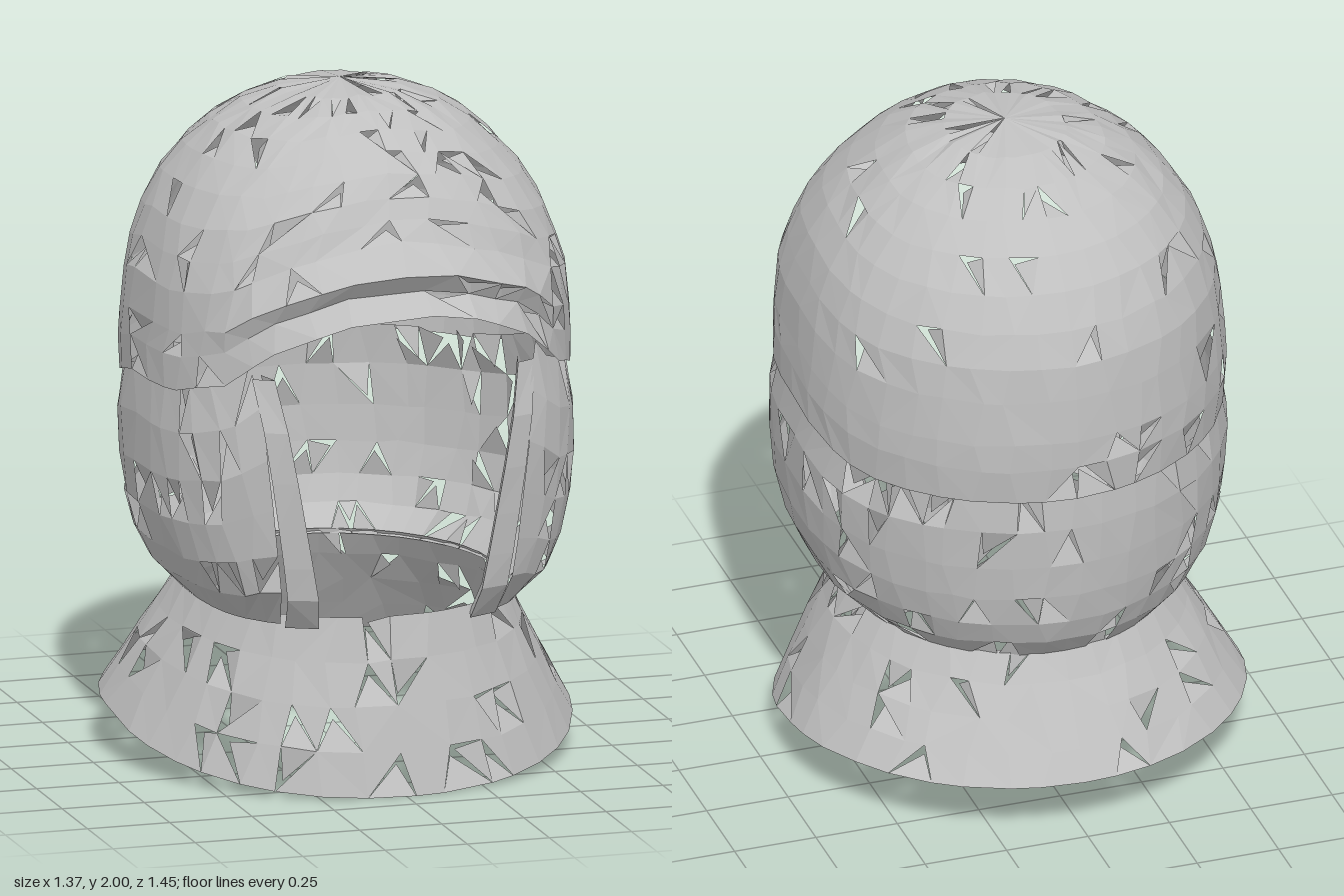
import * as THREE from 'three';

const steel = new THREE.MeshStandardMaterial({ color: 0xc0c0c0, flatShading: true, side: THREE.DoubleSide });
steel.name = 'grey steel';

// Small seeded generator for the battered surface
let seed = 7;
const rnd = () => (seed = (seed * 16807) % 2147483647) / 2147483647;

// Piecewise linear lookup: table rows are [key, value, value, ...]
function lookup(table, key, col = 1) {
  if (key <= table[0][0]) return table[0][col];
  for (let i = 1; i < table.length; i++) {
    const p = table[i - 1], q = table[i];
    if (key <= q[0]) return p[col] + (q[col] - p[col]) * (key - p[0]) / (q[0] - p[0]);
  }
  return table[table.length - 1][col];
}

// Point on a ring: angle 0 is the front; n sets how square the front half is
function ringPoint(a, y, rx, zf, zb, n) {
  const s = Math.sin(a), c = Math.cos(a), e = c > 0 ? 2 / n : 1;
  return new THREE.Vector3(
    rx * Math.sign(s) * Math.abs(s) ** e, y,
    c > 0 ? zf * c ** e : zb * c);
}

// Grid of points f(u, row) turned into a shell with uneven facets;
// a share of the facets (nicks) is bent inwards along one corner
function shell(name, cols, rows, f, rough, nicks) {
  const pos = [], idx = [], w = cols + 1;
  for (let r = 0; r < rows; r++)
    for (let c = 0; c <= cols; c++) {
      const inside = c > 0 && c < cols ? rough : 0;
      const p = f((c + (rnd() - 0.5) * inside) / cols, r);
      if (r > 0 && r < rows - 1) p.y += (rnd() - 0.5) * 0.02 * inside;
      pos.push(...p.toArray());
    }
  const at = i => new THREE.Vector3().fromArray(pos, i * 3);
  const face = (a, b, c) => {
    if (rnd() < nicks) {
      const A = at(a), B = at(b), C = at(c);
      const normal = B.clone().sub(A).cross(C.clone().sub(A)).normalize();
      const bent = C.lerp(A.add(B).multiplyScalar(0.5), 0.25).addScaledVector(normal, -0.03);
      c = pos.length / 3;
      pos.push(...bent.toArray());
    }
    idx.push(a, b, c);
  };
  for (let r = 0; r < rows - 1; r++)
    for (let c = 0; c < cols; c++) {
      const i = r * w + c;
      if (rnd() < 0.5) { face(i, i + 1, i + w + 1); face(i + w + 1, i + w, i); }
      else { face(i, i + 1, i + w); face(i + 1, i + w + 1, i + w); }
    }
  const g = new THREE.BufferGeometry();
  g.setAttribute('position', new THREE.Float32BufferAttribute(pos, 3));
  g.setIndex(idx);
  g.computeVertexNormals();
  const mesh = new THREE.Mesh(g, steel);
  mesh.name = name;
  return mesh;
}

// Lower edge of the dome by angle in degrees from the front
const HEM = [[0, 1.455], [10, 1.43], [30, 1.34], [44, 1.23], [65, 1.18], [90, 1.18],
  [105, 1.13], [120, 1.09], [180, 1.08]];
const hem = a => lookup(HEM, Math.abs(a) * 180 / Math.PI);

// Profiles: height, half width, front depth, back depth
const DOME = [[1.08, 0.635, 0.55, 0.655], [1.2, 0.645, 0.57, 0.665], [1.3, 0.64, 0.58, 0.663],
  [1.5, 0.62, 0.6, 0.64], [1.65, 0.57, 0.6, 0.585], [1.75, 0.51, 0.555, 0.52], [1.83, 0.44, 0.5, 0.44],
  [1.9, 0.355, 0.41, 0.355], [1.95, 0.265, 0.31, 0.265], [1.985, 0.15, 0.18, 0.15], [2, 0, 0, 0]];
const LOWER = [[0.5, 0.47, 0.555, 0.53], [0.59, 0.56, 0.61, 0.605], [0.68, 0.605, 0.615, 0.63],
  [0.8, 0.635, 0.62, 0.645], [1, 0.65, 0.63, 0.65], [1.12, 0.632, 0.63, 0.64], [1.25, 0.61, 0.6, 0.635]];
const COLLAR = [[0, 0.685, 0.66, 0.73], [0.4, 0.6, 0.62, 0.65], [0.8, 0.51, 0.565, 0.565], [1, 0.47, 0.545, 0.53]];

export function createModel() {
  const model = new THREE.Group();
  model.name = 'helmet';

  // Dome with a ridged brow; rows are [height at the front, forward bulge]
  const rows = [[1.455, 0.13], [1.52, 0.06], [1.57, 0.1], [1.65, 0.015], [1.71, 0], [1.77, 0],
    [1.83, 0], [1.88, 0], [1.925, 0], [1.96, 0], [1.985, 0], [2, 0]];
  model.add(shell('dome', 40, rows.length, (u, r) => {
    const a = (u * 2 - 1) * Math.PI;
    const y = 2 - (2 - rows[r][0]) * (2 - hem(a)) / (2 - 1.455);
    const n = 2 + THREE.MathUtils.clamp((1.85 - y) / 0.4, 0, 1);
    const p = ringPoint(a, y, lookup(DOME, y, 1), lookup(DOME, y, 2), lookup(DOME, y, 3), n);
    if (Math.abs(a) < 0.98) p.z += rows[r][1] * Math.cos(a * 1.6);
    return p;
  }, 0.5, 0.1));

  // Wrap around cheeks and back, open at the face
  const steps = [0, 0.13, 0.26, 0.42, 0.6, 0.8, 1];
  model.add(shell('cheekAndNeckGuard', 36, steps.length, (u, r) => {
    const t = steps[r], edgeX = 0.33 + 0.11 * t;
    const rx = lookup(LOWER, 0.5 + 0.7 * t, 1);
    const start = Math.asin((edgeX / rx) ** 1.5);
    const a = start + u * 2 * (Math.PI - start);
    const around = a > Math.PI ? 2 * Math.PI - a : a;
    const y = 0.5 + t * (hem(around) + 0.015 - 0.5);
    return ringPoint(a, y, lookup(LOWER, y, 1), lookup(LOWER, y, 2), lookup(LOWER, y, 3), 3);
  }, 0.5, 0.16));

  // Flared collar, its lower edge rising towards the back
  const EDGE = [[-0.4, 0.17], [-0.1, 0.15], [0.2, 0.09], [0.66, 0]];
  model.add(shell('collar', 36, 5, (u, r) => {
    const a = (u * 2 - 1) * Math.PI, t = r / 4, shift = 0.07 * (1 - t);
    const ring = k => ringPoint(a, 0, lookup(COLLAR, k, 1), lookup(COLLAR, k, 2) + 0.07 * (1 - k),
      lookup(COLLAR, k, 3) - 0.07 * (1 - k), 2.15);
    const p = ring(t), low = lookup(EDGE, ring(0).z - 0.07);
    p.z -= shift;
    p.y = low + t * (0.515 - low);
    return p;
  }, 0.5, 0.16));

  // Slanted strips along both sides of the face opening, their inner edges turned inwards
  for (const s of [1, -1]) {
    model.add(shell(s > 0 ? 'leftFaceStrip' : 'rightFaceStrip', 2, steps.length, (u, r) => {
      const t = steps[r], y = 0.49 + 0.76 * t;
      const inner = 0.23 + 0.14 * t;
      const x = u < 0.5 ? inner + 0.02 : u < 0.9 ? inner : inner + 0.09 - 0.03 * t;
      const front = lookup(LOWER, y, 2) * (1 - (x / lookup(LOWER, y, 1)) ** 3) ** (1 / 3);
      return new THREE.Vector3(s * x, y, u < 0.5 ? front - 0.06 : front + 0.005);
    }, 0, 0));
  }
  return model;
}
